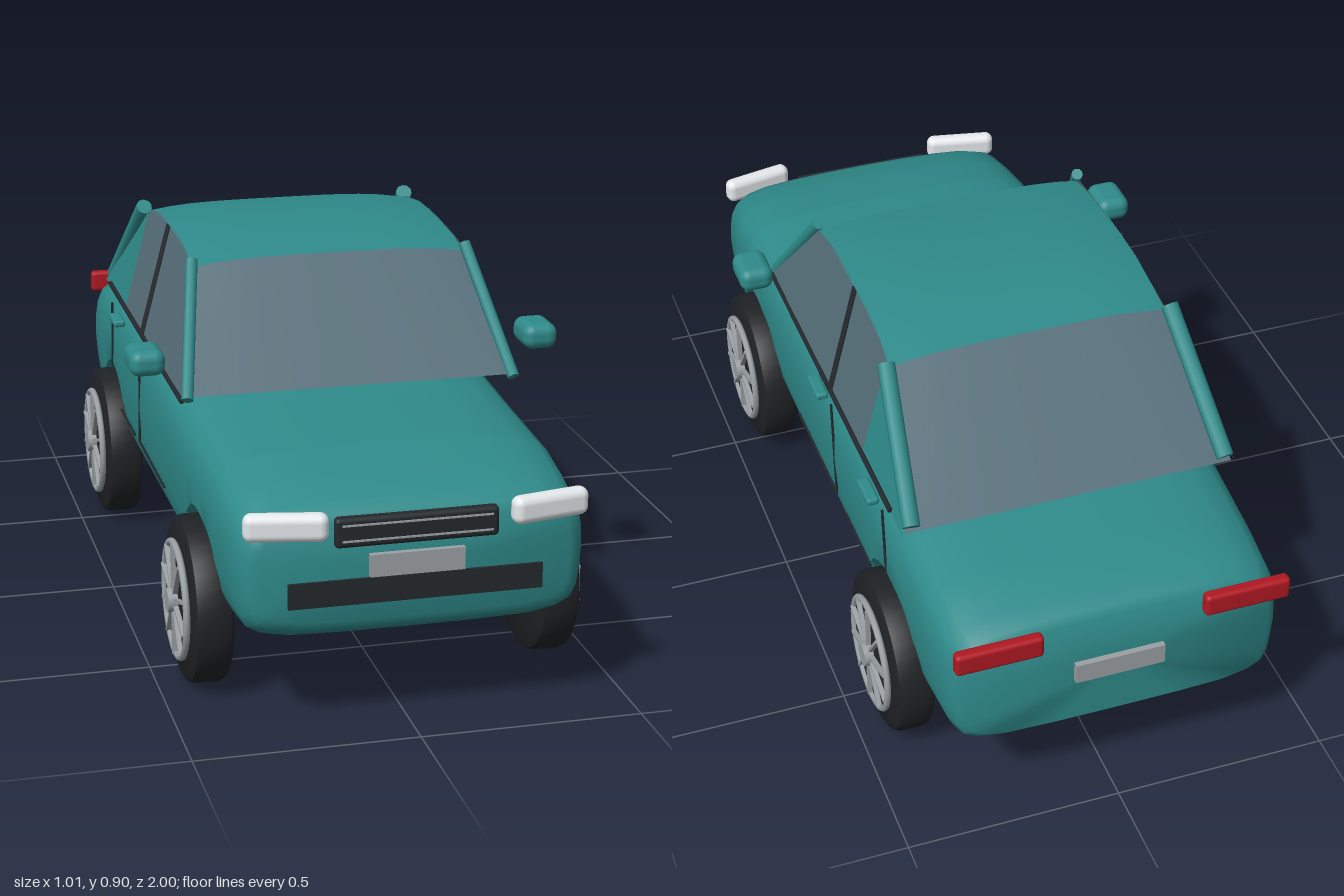
import * as THREE from 'three';
import { toCreasedNormals } from 'three/addons/utils/BufferGeometryUtils.js';
import { RoundedBoxGeometry } from 'three/addons/geometries/RoundedBoxGeometry.js';

const mat = (color, side = THREE.FrontSide) => new THREE.MeshStandardMaterial({ color, side });
const V = (x, y, z) => new THREE.Vector3(x, y, z);
const WHEEL_Z = 0.57, WHEEL_R = 0.19, ARCH_R = 0.21;

export function createModel() {
  const car = new THREE.Group();
  const paint = mat(0x2f8a8a), paintSheet = mat(0x2f8a8a, THREE.DoubleSide);
  const glass = mat(0x566f7a, THREE.DoubleSide);
  const black = mat(0x24282c), rubber = mat(0x1f2225), metal = mat(0x9aa0a4);
  const white = mat(0xe4e8ea), red = mat(0xb01822);

  const add = (name, geo, material, x = 0, y = 0, z = 0, parent = car) => {
    const m = new THREE.Mesh(geo, material);
    m.name = name;
    m.position.set(x, y, z);
    parent.add(m);
    return m;
  };
  // Straight round bar between two points
  const bar = (name, a, b, r, material) => {
    const m = add(name, new THREE.CylinderGeometry(r, r, a.distanceTo(b), 10), material);
    m.position.copy(a).lerp(b, 0.5);
    m.quaternion.setFromUnitVectors(V(0, 1, 0), b.clone().sub(a).normalize());
    return m;
  };

  add('body', bodyGeometry(), paint);

  // Cabin: crowned roof with sloping front and rear glass
  const roof = [[0.185, 0.865], [0.1, 0.881], [0, 0.893], [-0.1, 0.897], [-0.2, 0.897], [-0.3, 0.883], [-0.38, 0.867]];
  const across = Array.from({ length: 13 }, (_, i) => i / 6 - 1);
  const roofRow = ([z, y]) => across.map((u) => V(u * 0.327, y - 0.016 * u * u * u * u, z));
  const baseRow = (z, w) => across.map((u) => V(u * w, 0.605, z));
  add('roof', gridGeometry(roof.map(roofRow)), paintSheet);
  add('windscreen', gridGeometry([baseRow(0.4, 0.388), roofRow(roof[0])]), glass);
  add('rearWindow', gridGeometry([roofRow(roof[6]), baseRow(-0.655, 0.388)]), glass);

  // Side panels are drawn in z, y and leaned inwards
  const leanX = (y) => 0.395 - (y - 0.605) * 0.26;
  const sidePanel = (name, s, outline, material) => {
    const geo = new THREE.ShapeGeometry(new THREE.Shape(outline.map(([z, y]) => new THREE.Vector2(z, y))));
    const p = geo.attributes.position;
    for (let i = 0; i < p.count; i++) p.setXYZ(i, s * leanX(p.getY(i)), p.getY(i), p.getX(i));
    geo.computeVertexNormals();
    add(name, geo, material);
  };

  for (const s of [1, -1]) {
    const side = s > 0 ? 'left' : 'right';
    sidePanel(side + 'SideWindows', s, [[0.4, 0.605], [0.185, 0.855], [0.1, 0.87], [0, 0.88], [-0.2, 0.883], [-0.3, 0.869], [-0.36, 0.855], [-0.36, 0.605]], glass);
    sidePanel(side + 'RearQuarter', s, [[-0.36, 0.605], [-0.36, 0.855], [-0.38, 0.852], [-0.655, 0.605]], paintSheet);

    // Pillars and belt trim
    bar(side + 'FrontPillar', V(s * 0.385, 0.6, 0.405), V(s * 0.328, 0.868, 0.185), 0.014, paint);
    bar(side + 'RearPillar', V(s * 0.372, 0.62, -0.655), V(s * 0.338, 0.862, -0.38), 0.02, paint);
    bar(side + 'CentrePillar', V(s * leanX(0.61), 0.61, -0.112), V(s * leanX(0.88), 0.88, -0.107), 0.009, black);
    bar(side + 'BeltTrim', V(s * 0.397, 0.597, 0.4), V(s * 0.397, 0.614, -0.58), 0.006, black);

    // Door seams
    const seams = [[-0.13, 0.575, -0.15, 0.32], [0.18, 0.315, -0.15, 0.32], [-0.22, 0.315, -0.42, 0.318], [-0.53, 0.575, -0.55, 0.4]];
    for (const [z0, y0, z1, y1] of seams)
      bar(side + 'DoorSeam', V(s * 0.401, y0, z0), V(s * 0.401, y1, z1), 0.003, black);

    for (const z of [-0.03, -0.435])
      add(side + 'DoorHandle', new RoundedBoxGeometry(0.03, 0.018, 0.085, 2, 0.007), paint, s * 0.405, 0.555, z);
    add(side + 'Mirror', new RoundedBoxGeometry(0.082, 0.06, 0.11, 4, 0.024), paint, s * 0.465, 0.677, 0.315);

    // Lamps
    const lamp = add(side + 'Headlight', new RoundedBoxGeometry(0.18, 0.062, 0.042, 4, 0.019), white, s * 0.288, 0.491, 0.962);
    lamp.rotation.y = s * 0.2;
    add(side + 'TailLight', new RoundedBoxGeometry(0.2, 0.055, 0.03, 3, 0.01), red, s * 0.286, 0.512, -0.985);

    for (const z of [WHEEL_Z, -WHEEL_Z]) {
      const wheel = makeWheel(add, { rubber, black, metal });
      wheel.name = side + (z > 0 ? 'FrontWheel' : 'RearWheel');
      wheel.position.set(s * 0.397, WHEEL_R, z);
      if (s < 0) wheel.rotation.y = Math.PI;
      car.add(wheel);
    }
  }

  // Nose and tail fittings
  add('grille', new RoundedBoxGeometry(0.36, 0.067, 0.03, 2, 0.01), black, 0, 0.462, 0.942);
  for (const y of [0.445, 0.48]) add('grilleBar', new THREE.BoxGeometry(0.33, 0.004, 0.006), metal, 0, y, 0.957);
  add('lowerIntake', new THREE.BoxGeometry(0.56, 0.057, 0.02), black, 0, 0.328, 0.942);
  add('frontPlate', new THREE.BoxGeometry(0.208, 0.05, 0.014), metal, 0, 0.386, 0.953);
  add('rearPlate', new THREE.BoxGeometry(0.208, 0.05, 0.014), metal, 0, 0.386, -0.972);
  return car;
}

// Rounded cross-sections lofted from nose to tail, with the wheel arches cut by lifting the underside
function bodyGeometry() {
  // z, half width, bottom, top
  const stations = [
    [0.945, 0.345, 0.26, 0.485], [0.935, 0.365, 0.238, 0.502], [0.9, 0.384, 0.217, 0.521], [0.8, 0.392, 0.212, 0.545],
    [0.68, 0.397, 0.21, 0.567], [0.4, 0.4, 0.21, 0.582], [0.1, 0.402, 0.21, 0.605], [-0.1, 0.402, 0.21, 0.61],
    [-0.4, 0.402, 0.21, 0.61], [-0.6, 0.4, 0.21, 0.601], [-0.8, 0.395, 0.212, 0.578], [-0.91, 0.388, 0.217, 0.56],
    [-0.95, 0.375, 0.226, 0.543], [-0.965, 0.355, 0.243, 0.525],
  ];
  const half = [[0, 0], [0.4, 0.003], [0.7, 0.015], [0.86, 0.055], [0.94, 0.11], [0.975, 0.2], [0.99, 0.33], [1, 0.5],
    [0.995, 0.65], [0.98, 0.76], [0.945, 0.85], [0.88, 0.91], [0.75, 0.957], [0.55, 0.983], [0.3, 0.996], [0, 1]];
  const ring = [...half, ...half.slice(1, -1).reverse().map(([u, v]) => [-u, v])];

  const zs = stations.map((s) => s[0]);
  for (const c of [WHEEL_Z, -WHEEL_Z]) {
    for (let i = 0; i <= 24; i++) zs.push(c + ARCH_R * Math.cos((i / 24) * Math.PI));
    zs.push(c + ARCH_R + 0.002, c - ARCH_R - 0.002);
  }
  zs.sort((a, b) => b - a);
  const at = (z) => {
    let i = 0;
    while (i < stations.length - 2 && z < stations[i + 1][0]) i++;
    const a = stations[i], b = stations[i + 1], t = (z - a[0]) / (b[0] - a[0]);
    return a.map((v, k) => v + (b[k] - v) * t);
  };

  const pos = [], idx = [], n = ring.length;
  for (const z of zs) {
    const [, w, lo, hi] = at(z);
    const d = Math.abs(Math.abs(z) - WHEEL_Z);
    const arch = d < ARCH_R ? WHEEL_R + Math.sqrt(ARCH_R ** 2 - d * d) : 0;
    for (const [u, v] of ring) pos.push(u * w, Math.max(lo + v * (hi - lo), arch), z);
  }
  for (let i = 0; i < zs.length - 1; i++)
    for (let j = 0; j < n; j++) {
      const a = i * n + j, b = i * n + ((j + 1) % n);
      idx.push(a, a + n, b, b, a + n, b + n);
    }
  // Nose and tail caps
  const last = (zs.length - 1) * n, mid = pos.length / 3;
  pos.push(0, 0.37, zs[0], 0, 0.38, zs[zs.length - 1]);
  for (let j = 0; j < n; j++) {
    const k = (j + 1) % n;
    idx.push(mid, j, k, mid + 1, last + k, last + j);
  }
  const geo = new THREE.BufferGeometry();
  geo.setAttribute('position', new THREE.Float32BufferAttribute(pos, 3));
  geo.setIndex(idx);
  return toCreasedNormals(geo, 0.7);
}

// Surface through rows of points, each row running from -x to +x and rows from front to back
function gridGeometry(rows) {
  const n = rows[0].length, idx = [];
  for (let i = 0; i < rows.length - 1; i++)
    for (let j = 0; j < n - 1; j++) {
      const a = i * n + j;
      idx.push(a, a + 1, a + n, a + 1, a + n + 1, a + n);
    }
  const geo = new THREE.BufferGeometry().setFromPoints(rows.flat());
  geo.setIndex(idx);
  geo.computeVertexNormals();
  return geo;
}

// Wheel with its outer face towards +x
function makeWheel(add, { rubber, black, metal }) {
  const wheel = new THREE.Group();
  const profile = [[0, -0.045], [0.172, -0.045], [0.185, -0.038], [0.19, -0.025], [0.19, 0.025], [0.185, 0.038], [0.172, 0.045], [0, 0.045]];
  const tyre = new THREE.LatheGeometry(profile.map(([r, y]) => new THREE.Vector2(r, y)), 40).rotateZ(-Math.PI / 2);
  add('tyre', toCreasedNormals(tyre, 0.7), rubber, 0, 0, 0, wheel);
  const disc = (r, t) => new THREE.CylinderGeometry(r, r, t, 32).rotateZ(Math.PI / 2);
  add('rimDisc', disc(0.13, 0.02), black, 0.042, 0, 0, wheel);
  add('rimRing', new THREE.TorusGeometry(0.131, 0.008, 8, 40).rotateY(Math.PI / 2), metal, 0.053, 0, 0, wheel);
  add('hub', disc(0.028, 0.028), metal, 0.06, 0, 0, wheel);
  for (let i = 0; i < 10; i++) {
    const spoke = new THREE.BoxGeometry(0.012, 0.11, 0.007).translate(0, 0.075, 0).rotateX((i * Math.PI) / 5);
    add('spoke', spoke, metal, 0.057, 0, 0, wheel);
  }
  return wheel;
}
